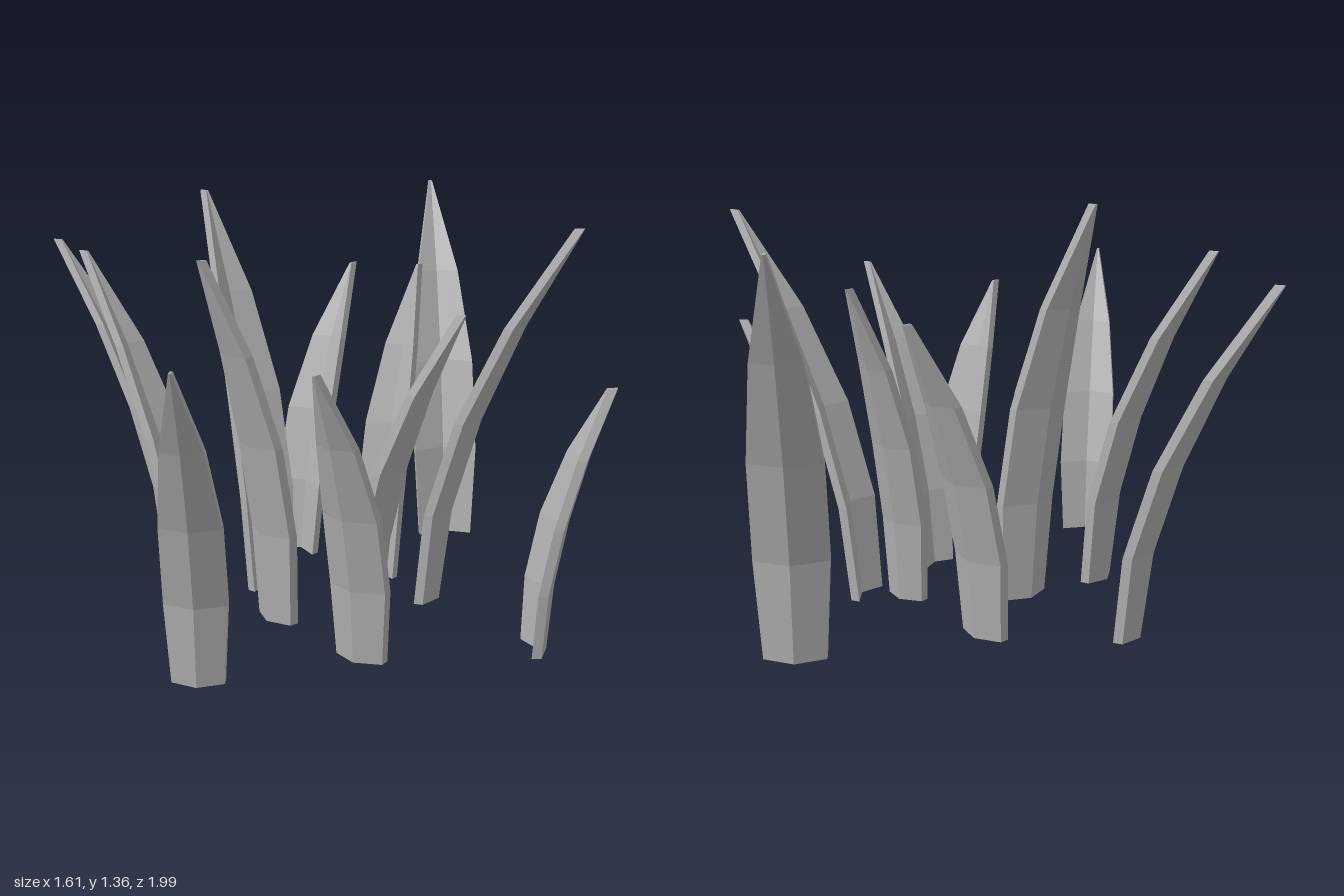
import * as THREE from 'three';

// Each blade: spine foot x, z; tip x, z; foot height; tip height; half width
const BLADES = [
  [0.61, -0.565, 0.647, -0.968, 0.02, 1.31, 0.115],
  [-0.435, -0.48, -0.785, -0.69, 0.02, 1.16, 0.09],
  [0.035, -0.45, 0.255, -0.625, 0.03, 1.055, 0.1],
  [-0.15, -0.115, -0.305, -0.35, 0.03, 1.36, 0.108],
  [-0.43, 0.045, -0.72, -0.19, 0.025, 1.19, 0.09],
  [0.25, -0.11, 0.41, -0.265, 0.04, 1.1, 0.085],
  [0.39, 0.05, 0.775, 0.275, 0.0, 1.285, 0.098],
  [-0.18, 0.215, -0.4, 0.335, 0.03, 1.23, 0.097],
  [0.125, 0.265, 0.33, 0.505, 0.025, 1.07, 0.078],
  [0.02, 0.575, -0.135, 0.73, 0.025, 0.96, 0.098],
  [0.585, 0.59, 0.772, 0.61, 0.02, 0.85, 0.095],
  [-0.48, 0.635, -0.57, 0.96, 0.015, 1.04, 0.095],
];
const WIDTHS = [0.84, 1, 0.97, 0.66, 0.04]; // relative width, foot to tip
const THICKNESS = 0.031;
const FOLD = 0.42; // depth of the V fold relative to half width

// A folded leaf: V-shaped sections lofted along a spine that bends outward
function bladeGeometry([x0, z0, x1, z1, y0, y1, halfWidth]) {
  const lean = new THREE.Vector2(x1 - x0, z1 - z0);
  const out = lean.clone().normalize();
  const side = new THREE.Vector2(-out.y, out.x);
  const positions = [], index = [];
  const last = WIDTHS.length - 1;

  WIDTHS.forEach((width, i) => {
    const t = i / last, bend = Math.pow(t, 1.75), w = width * halfWidth;
    // inner left, centre, right, then outer right, centre, left
    for (const [s, o] of [[-1, 0], [0, 0], [1, 0], [1, 1], [0, 1], [-1, 1]]) {
      const a = s * w;
      const b = o * THICKNESS - Math.abs(s) * w * FOLD;
      positions.push(
        x0 + lean.x * bend + side.x * a + out.x * b,
        y0 + (y1 - y0) * t,
        z0 + lean.y * bend + side.y * a + out.y * b
      );
    }
  });

  const quad = (a, b, c, d) => index.push(a, b, c, a, c, d);
  for (let i = 0; i < last; i++) {
    for (let k = 0; k < 6; k++) {
      const a = i * 6 + k, b = i * 6 + (k + 1) % 6;
      quad(a, b, b + 6, a + 6);
    }
  }
  // Foot and tip ends
  const n = last * 6;
  quad(0, 5, 4, 1);
  quad(1, 4, 3, 2);
  quad(n, n + 1, n + 4, n + 5);
  quad(n + 1, n + 2, n + 3, n + 4);

  const indexed = new THREE.BufferGeometry();
  indexed.setAttribute('position', new THREE.Float32BufferAttribute(positions, 3));
  indexed.setIndex(index);
  const geometry = indexed.toNonIndexed();
  geometry.computeVertexNormals();
  return geometry;
}

export function createModel() {
  const group = new THREE.Group();
  group.name = 'grassTuft';
  const material = new THREE.MeshStandardMaterial({ color: 0xb0b0b0, flatShading: true });
  material.name = 'leaf grey';

  BLADES.forEach((blade, i) => {
    const mesh = new THREE.Mesh(bladeGeometry(blade), material);
    mesh.name = `grassBlade${i + 1}`;
    group.add(mesh);
  });
  return group;
}
